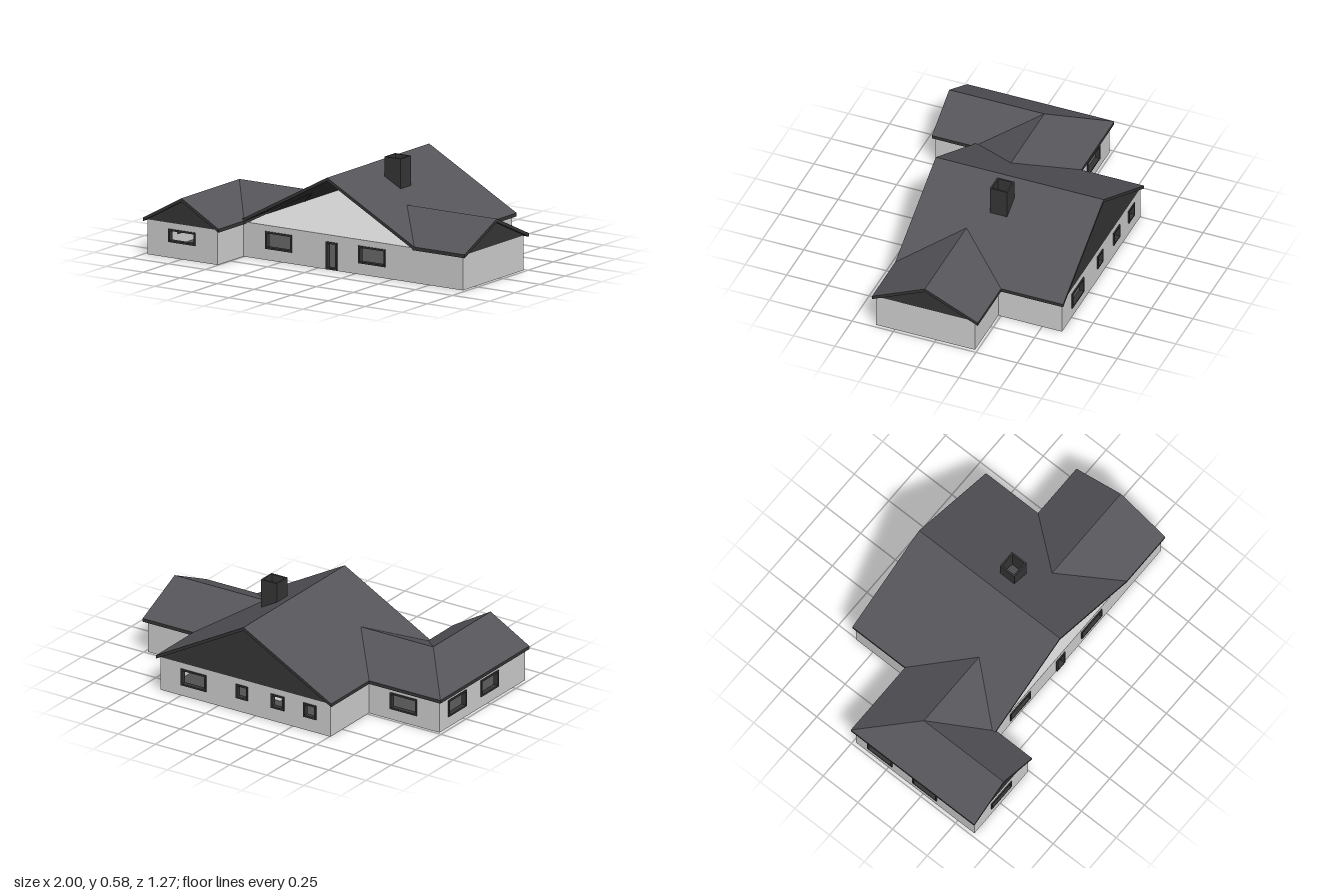
import * as THREE from 'three';

const material = (name, color, side = THREE.FrontSide) => {
  const m = new THREE.MeshStandardMaterial({ color, side });
  m.name = name;
  return m;
};

// House outline [x, z], walked with the outside on the right
const OUTLINE = [
  [-0.98, 0.62], [-0.505, 0.62], [-0.505, 0.365], [0.98, 0.365], [0.98, -0.235],
  [0.64, -0.235], [0.64, -0.62], [-0.505, -0.62], [-0.505, -0.235], [-0.98, -0.235],
];

// Openings per wall index: [start, end, bottom, top] along the wall
const OPENINGS = {
  0: [[0.145, 0.325, 0.09, 0.165]],
  2: [[0.15, 0.33, 0.065, 0.165], [0.56, 0.635, 0.002, 0.16], [0.78, 0.96, 0.065, 0.165]],
  6: [[0.14, 0.31, 0.065, 0.165], [0.51, 0.59, 0.08, 0.165], [0.745, 0.835, 0.08, 0.165], [0.965, 1.05, 0.08, 0.165]],
  8: [[0.145, 0.325, 0.065, 0.165]],
  9: [[0.085, 0.265, 0.065, 0.165], [0.41, 0.585, 0.065, 0.165]],
};
const WALL_TOP = 0.2, WALL_T = 0.02, ROOF_T = 0.02;

const rect = (Type, x1, x2, y1, y2) =>
  new Type([[x1, y1], [x2, y1], [x2, y2], [x1, y2]].map(([x, y]) => new THREE.Vector2(x, y)));

// Rectangular ring, from z = 0 forward
function ring(x1, x2, y1, y2, width, depth) {
  const s = rect(THREE.Shape, x1, x2, y1, y2);
  s.holes.push(rect(THREE.Path, x1 + width, x2 - width, y1 + width, y2 - width));
  return new THREE.ExtrudeGeometry(s, { depth, bevelEnabled: false });
}

// Roof slab: convex top face, dropped straight down; group 0 top, group 1 edges and soffit
function slabGeometry(points) {
  let top = points.map(p => new THREE.Vector3(...p));
  const n = top[1].clone().sub(top[0]).cross(top[2].clone().sub(top[0]));
  if (n.y < 0) top = top.reverse();
  const low = top.map(p => p.clone().setY(p.y - ROOF_T));
  const tris = [];
  for (let i = 1; i < top.length - 1; i++) tris.push(top[0], top[i], top[i + 1]);
  const topCount = tris.length;
  for (let i = 1; i < top.length - 1; i++) tris.push(low[0], low[i + 1], low[i]);
  top.forEach((p, i) => {
    const j = (i + 1) % top.length;
    tris.push(p, low[i], low[j], p, low[j], top[j]);
  });
  const g = new THREE.BufferGeometry().setFromPoints(tris);
  g.addGroup(0, topCount, 0);
  g.addGroup(topCount, tris.length - topCount, 1);
  g.computeVertexNormals();
  return g;
}

export function createModel() {
  const house = new THREE.Group();
  house.name = 'house';
  const wallMat = material('wall plaster', 0xd0d0d0);
  const ceilingMat = material('ceiling plaster', 0xd0d0d0, THREE.DoubleSide);
  const roofMat = material('roof slate', 0x56555a);
  const trimMat = material('dark trim', 0x363636);
  const gableMat = material('gable cladding', 0x363636, THREE.DoubleSide);
  const floorMat = material('dark floor', 0x525252, THREE.DoubleSide);
  const woodMat = material('wood floor', 0xb5a28a);

  const add = (parent, name, geometry, mat) => {
    const mesh = new THREE.Mesh(geometry, mat);
    mesh.name = name;
    parent.add(mesh);
    return mesh;
  };

  // Walls with cut openings and projecting frames
  OUTLINE.forEach(([x1, z1], i) => {
    const [x2, z2] = OUTLINE[(i + 1) % OUTLINE.length];
    const side = new THREE.Group();
    side.name = 'wallSide' + i;
    side.position.set(x1, 0, z1);
    side.rotation.y = Math.atan2(z1 - z2, x2 - x1);
    house.add(side);
    const shape = rect(THREE.Shape, 0, Math.hypot(x2 - x1, z2 - z1), 0, WALL_TOP);
    for (const [a, b, c, d] of OPENINGS[i] ?? []) {
      shape.holes.push(rect(THREE.Path, a, b, c, d));
      add(side, c < 0.01 ? 'doorFrame' : 'windowFrame', ring(a, b, c, d, 0.01, 0.03), trimMat).position.z = -0.023;
    }
    add(side, 'wall', new THREE.ExtrudeGeometry(shape, { depth: WALL_T, bevelEnabled: false }), wallMat).position.z = -WALL_T;
  });

  // Floor and ceiling sheets
  const plan = new THREE.ShapeGeometry(new THREE.Shape(OUTLINE.map(([x, z]) => new THREE.Vector2(x, -z))));
  plan.rotateX(-Math.PI / 2);
  add(house, 'floor', plan, floorMat).position.y = 0.004;
  add(house, 'ceiling', plan, ceilingMat).position.y = WALL_TOP;
  const plate = (name, x1, x2, z1, z2, y1, mat) => {
    add(house, name, new THREE.BoxGeometry(x2 - x1, 0.006 - y1, z2 - z1), mat)
      .position.set((x1 + x2) / 2, (0.006 + y1) / 2, (z1 + z2) / 2);
  };
  plate('woodFloor', 0.52, 0.96, -0.215, 0.345, 0.002, woodMat);
  plate('woodFloorHall', 0.385, 0.52, -0.215, -0.06, 0.002, woodMat);
  plate('paleFloorPatch', 0.49, 0.71, -0.03, 0.105, 0.001, wallMat);
  plate('paleFloorPatch', -0.01, 0.2, -0.385, -0.235, 0.001, wallMat);

  // Roof slopes
  const E = 0.21, R = 0.355, M = 0.53;
  const slopes = {
    mainRoofRight: [[-0.52, E, -0.635], [0.07, M, -0.635], [0.07, M, 0.38], [-0.52, E, 0.38]],
    mainRoofLeft: [[0.66, E, -0.635], [0.07, M, -0.635], [0.07, M, 0.38], [0.66, E, 0.38]],
    leftWingBack: [[0.39, R, 0.06], [1, R, 0.06], [1, E, -0.26], [0.65, E, -0.26]],
    leftWingFront: [[0.39, R, 0.06], [1, R, 0.06], [1, E, 0.38], [0.65, E, 0.38]],
    rightWingBack: [[-0.74, R, 0.06], [-0.25, R, 0.06], [-0.51, E, -0.255], [-1, E, -0.255]],
    rightWingOuter: [[-1, E, -0.255], [-0.74, R, 0.06], [-0.74, R, 0.635], [-1, E, 0.635]],
    rightWingInner: [[-0.74, R, 0.06], [-0.74, R, 0.635], [-0.49, E, 0.635], [-0.49, E, 0.38]],
    rightWingFront: [[-0.74, R, 0.06], [-0.25, R, 0.06], [-0.49, E, 0.38]],
  };
  for (const [name, points] of Object.entries(slopes)) add(house, name, slabGeometry(points), [roofMat, trimMat]);

  // Gable triangles under the roof ends; the main front gable stays open
  const gable = (name, half, height, x, z, turn) => {
    const s = new THREE.Shape([[-half, 0], [half, 0], [0, height]].map(p => new THREE.Vector2(...p)));
    const mesh = add(house, name, new THREE.ShapeGeometry(s), gableMat);
    mesh.position.set(x, WALL_TOP, z);
    mesh.rotation.y = turn;
  };
  gable('backGable', 0.572, 0.312, 0.07, -0.62, Math.PI);
  gable('leftWingGable', 0.3, 0.137, 0.98, 0.06, Math.PI / 2);
  gable('rightWingGable', 0.24, 0.137, -0.743, 0.62, 0);

  // Hollow chimney
  const chimney = add(house, 'chimney', ring(-0.054, 0.054, -0.052, 0.052, 0.01, 0.205), trimMat);
  chimney.rotation.x = -Math.PI / 2;
  chimney.position.set(0.23, 0.38, -0.088);

  return house;
}
